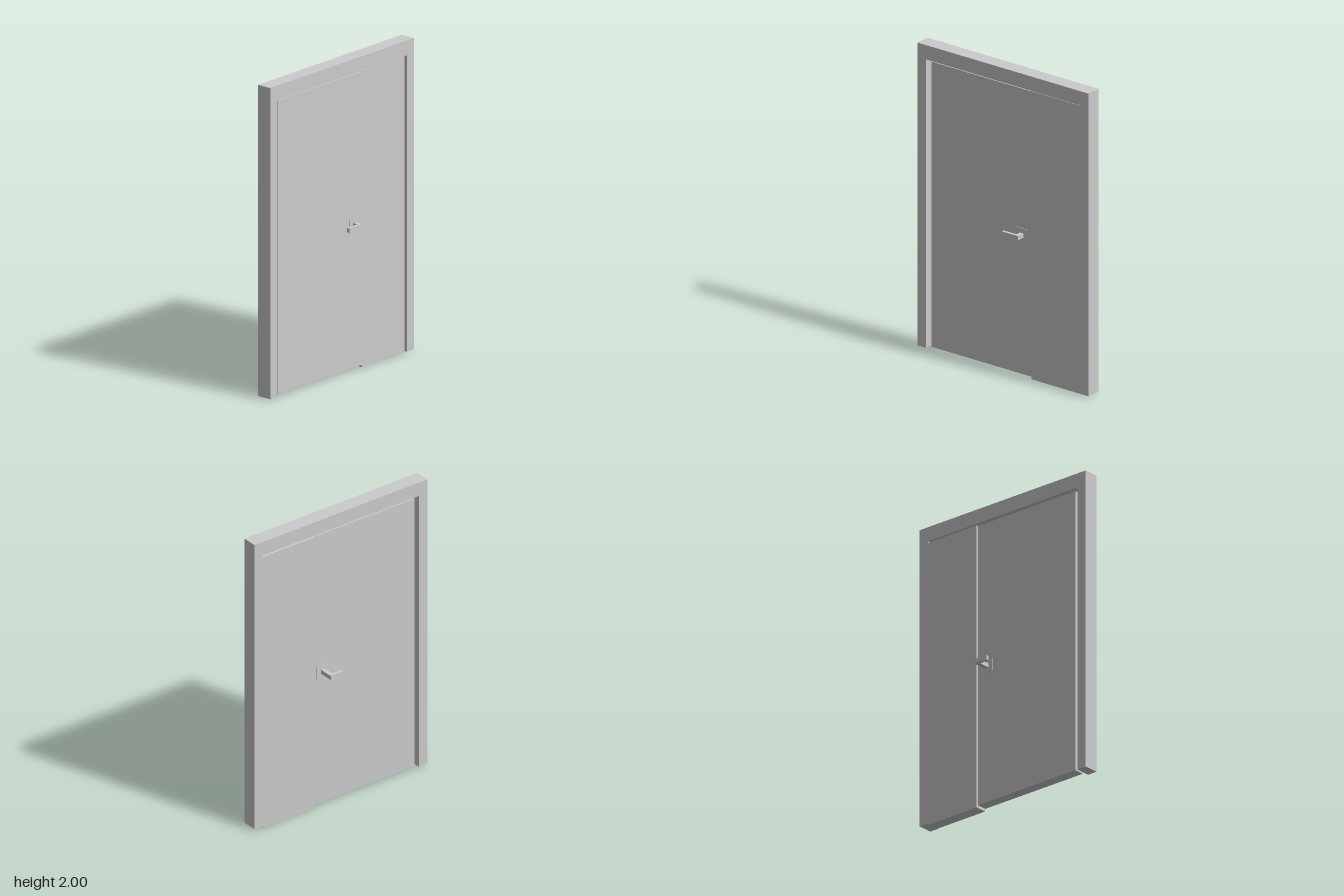
import * as THREE from 'three';

const material = new THREE.MeshStandardMaterial({ color: 0xcccccc, flatShading: true });

// Box given by its lower and upper limits on each axis
function block(name, [x0, x1], [y0, y1], [z0, z1]) {
  const mesh = new THREE.Mesh(new THREE.BoxGeometry(x1 - x0, y1 - y0, z1 - z0), material);
  mesh.position.set((x0 + x1) / 2, (y0 + y1) / 2, (z0 + z1) / 2);
  mesh.name = name;
  return mesh;
}

// U-shaped surround: drawn in the z-y plane, extruded along x
function doorFrame() {
  const outer = 0.665, inner = 0.598, bottom = 0.01, head = 1.906;
  const shape = new THREE.Shape([
    [-outer, bottom], [-inner, bottom], [-inner, head], [inner, head],
    [inner, bottom], [outer, bottom], [outer, 2], [-outer, 2],
  ].map(([u, v]) => new THREE.Vector2(u, v)));
  const geometry = new THREE.ExtrudeGeometry(shape, { depth: 0.1, bevelEnabled: false });
  geometry.rotateY(Math.PI / 2);
  const mesh = new THREE.Mesh(geometry, material);
  mesh.position.x = -0.025;
  mesh.name = 'doorFrame';
  return mesh;
}

// Square rose, spindle and lever on one face of the door; side is +1 or -1 along x
function handle(name, side, face, tip, leverEnd) {
  const group = new THREE.Group();
  group.name = name;
  const span = (a, b) => [Math.min(a, b), Math.max(a, b)];
  const height = [0.916, 0.944];
  const grip = tip - side * 0.02;
  group.add(
    block('rose', span(face, face + side * 0.003), [0.885, 0.975], [-0.18, -0.09]),
    block('spindle', span(face, grip), height, [-0.148, -0.12]),
    block('lever', span(grip, tip), height, [-0.148, leverEnd]),
  );
  return group;
}

export function createModel() {
  const door = new THREE.Group();
  door.name = 'door';
  door.add(
    doorFrame(),
    // Wide opening leaf and narrow fixed leaf, flush on the +x face
    block('wideLeaf', [-0.015, 0.055], [0.017, 1.892], [-0.206, 0.573]),
    block('narrowLeaf', [-0.025, 0.055], [0, 1.894], [-0.598, -0.208]),
    handle('leftHandle', 1, 0.055, 0.113, -0.022),
    handle('rightHandle', -1, -0.015, -0.115, -0.052),
  );
  return door;
}
